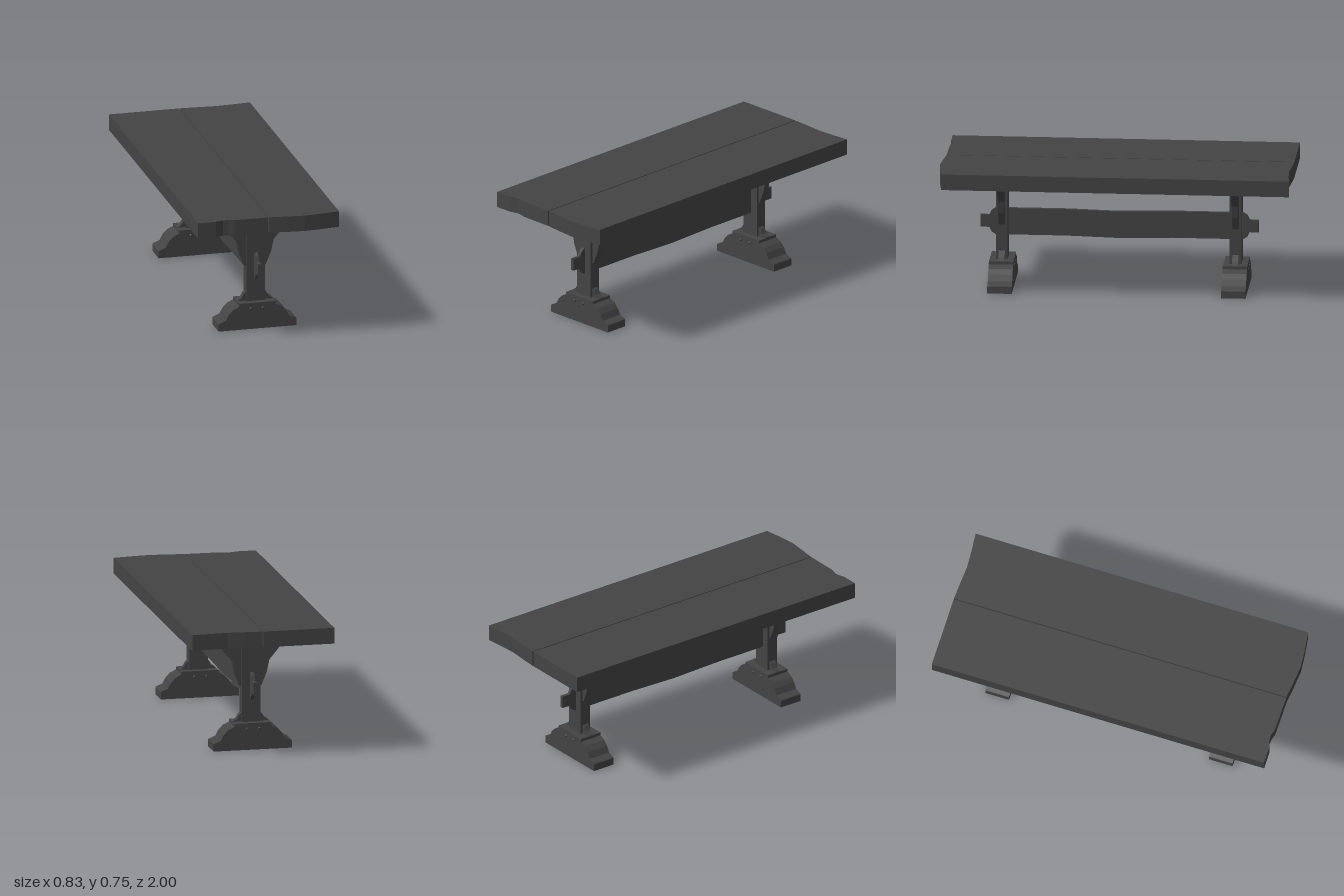
import * as THREE from 'three';

const wood = new THREE.MeshStandardMaterial({ color: 0x444444, flatShading: true });

// Extrudes an outline, centred on its thickness
function slab(points, thickness) {
  const shape = new THREE.Shape(points.map(([x, y]) => new THREE.Vector2(x, y)));
  const geo = new THREE.ExtrudeGeometry(shape, { depth: thickness, bevelEnabled: false });
  return geo.translate(0, 0, -thickness / 2);
}

function add(parent, name, geo) {
  const mesh = new THREE.Mesh(geo, wood);
  mesh.name = name;
  parent.add(mesh);
  return mesh;
}

const mirror = (pts) => pts.map(([x, y]) => [-x, y]).reverse();

function trestle(name) {
  const group = new THREE.Group();
  group.name = name;

  // Stepped foot, symmetric about its middle
  const half = [[0.228, 0], [0.228, 0.042], [0.22, 0.047], [0.187, 0.06], [0.168, 0.095],
    [0.143, 0.121], [0.107, 0.138], [0.107, 0.155]];
  add(group, 'foot', slab([...half, ...mirror(half)], 0.139));

  // Upright post
  const post = add(group, 'post', new THREE.BoxGeometry(0.108, 0.505, 0.067));
  post.position.y = 0.4025;

  // Curved top braces and small lower braces
  const upper = [[0.05, 0.36], [0.062, 0.362], [0.093, 0.437], [0.108, 0.508], [0.168, 0.58],
    [0.268, 0.626], [0.308, 0.626], [0.345, 0.648], [0.345, 0.655], [0.05, 0.655]];
  const lower = [[0.05, 0.15], [0.106, 0.15], [0.104, 0.157], [0.08, 0.172], [0.066, 0.197], [0.05, 0.21]];
  for (const side of [1, -1]) {
    const label = side > 0 ? 'left' : 'right';
    add(group, label + 'TopBrace', slab(side > 0 ? upper : mirror(upper), 0.036));
    add(group, label + 'LowerBrace', slab(side > 0 ? lower : mirror(lower), 0.036));
    // Domed pegs on both faces of the foot
    for (const face of [1, -1]) {
      const peg = add(group, label + 'Peg', new THREE.SphereGeometry(0.009, 10, 6));
      peg.position.set(side * 0.035 - 0.003, 0.122, face * 0.069);
    }
  }
  return group;
}

export function createModel() {
  const model = new THREE.Group();
  model.name = 'trestleTable';

  // Two top planks with uneven ends, outlined in plan as [x, z]
  const planks = {
    rightPlank: [[-0.414, -1], [-0.003, -1], [-0.003, 0.978], [-0.2, 0.975], [-0.235, 0.965],
      [-0.265, 0.962], [-0.31, 0.976], [-0.414, 0.976]],
    leftPlank: [[0.003, -1], [0.1, -0.994], [0.205, -0.986], [0.3, -0.991], [0.413, -1],
      [0.413, 0.977], [0.3, 0.992], [0.205, 1], [0.1, 0.99], [0.003, 0.978]],
  };
  for (const [name, outline] of Object.entries(planks)) {
    const plank = add(model, name, slab(outline, 0.092).rotateX(Math.PI / 2));
    plank.position.y = 0.701;
  }

  // Two trestles
  const front = trestle('frontTrestle');
  front.position.z = 0.66;
  const back = trestle('backTrestle');
  back.position.z = -0.67;
  model.add(front, back);

  // Sagging stretcher with shouldered tenon ends, outlined as [z, y]
  const topEnd = [[0.3, 0.444], [0.705, 0.444], [0.728, 0.428], [0.74, 0.402], [0.792, 0.402]];
  const lowEnd = [[0.792, 0.331], [0.74, 0.331], [0.728, 0.305], [0.705, 0.289], [0.3, 0.289]];
  const right = [...topEnd, ...lowEnd];
  const outline = [[0, 0.436], ...right, [0, 0.281], ...mirror(right)].reverse();
  const stretcher = add(model, 'stretcher', slab(outline, 0.02).rotateY(-Math.PI / 2));
  stretcher.position.set(-0.001, 0, -0.006);

  return model;
}
